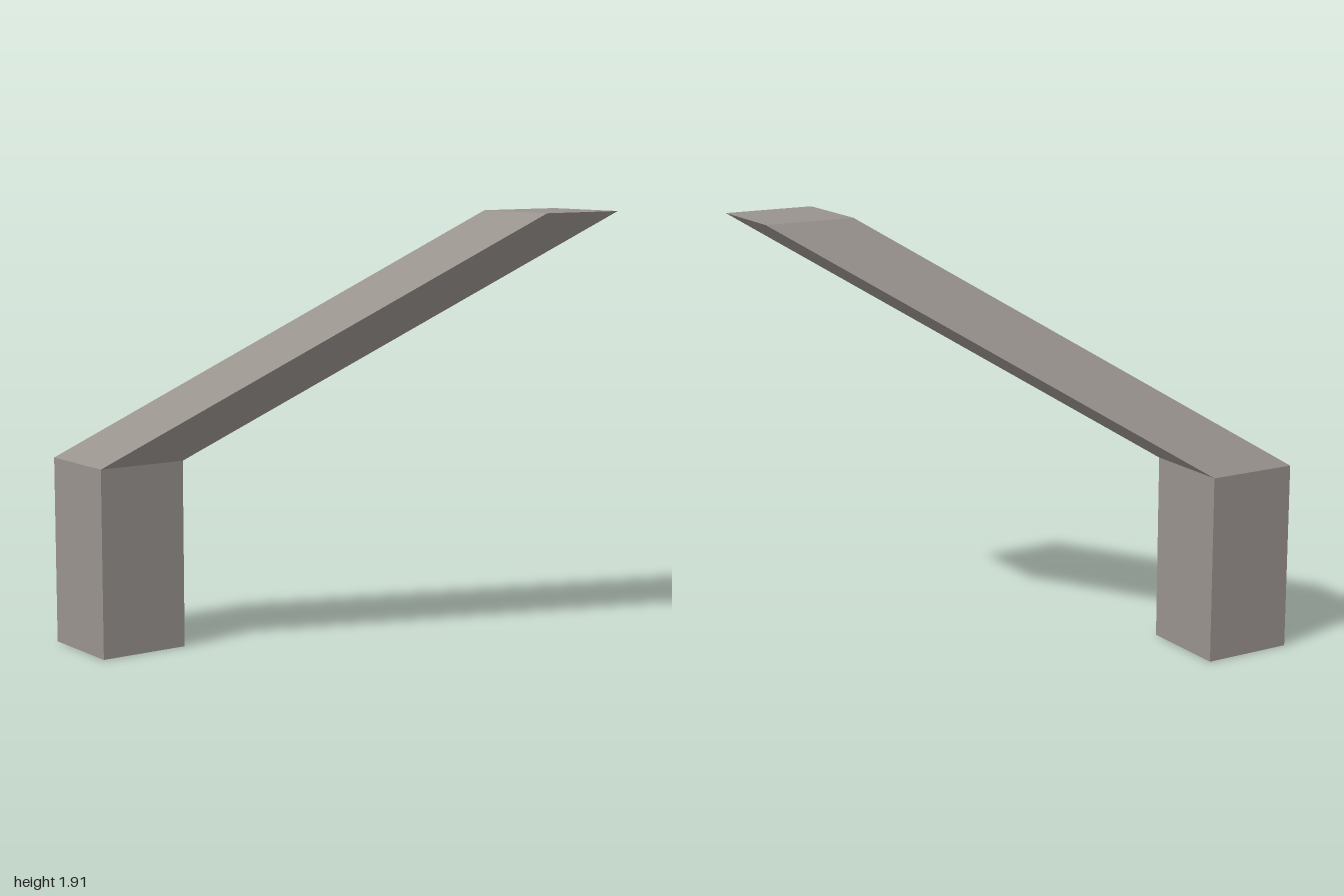
import * as THREE from 'three';

const WIDTH = 0.41;   // square section
const BEND = 0.83;    // height where the post turns into the arm
const TOP = 1.91;

export function createModel() {
  const model = new THREE.Group();
  model.name = 'bentBeam';
  const taupe = new THREE.MeshStandardMaterial({ color: 0x98928d });
  taupe.name = 'taupe';

  // One square prism with three rings: foot, bend and tip.
  // Each ring stays level; the tip ring is shifted sideways and back.
  const rings = [
    new THREE.Vector3(-0.515, 0, 0.795),
    new THREE.Vector3(-0.515, BEND, 0.795),
    new THREE.Vector3(0.515, TOP, -0.795),
  ];
  const box = new THREE.BoxGeometry(WIDTH, 2, WIDTH, 1, 2, 1);
  const pos = box.attributes.position;
  for (let i = 0; i < pos.count; i++) {
    const ring = rings[Math.round(pos.getY(i)) + 1];
    pos.setXYZ(i, pos.getX(i) + ring.x, ring.y, pos.getZ(i) + ring.z);
  }

  // Unshared corners keep the bend crisp
  const geometry = box.toNonIndexed();
  geometry.computeVertexNormals();

  const beam = new THREE.Mesh(geometry, taupe);
  beam.name = 'postAndSlantedArm';
  model.add(beam);
  return model;
}
